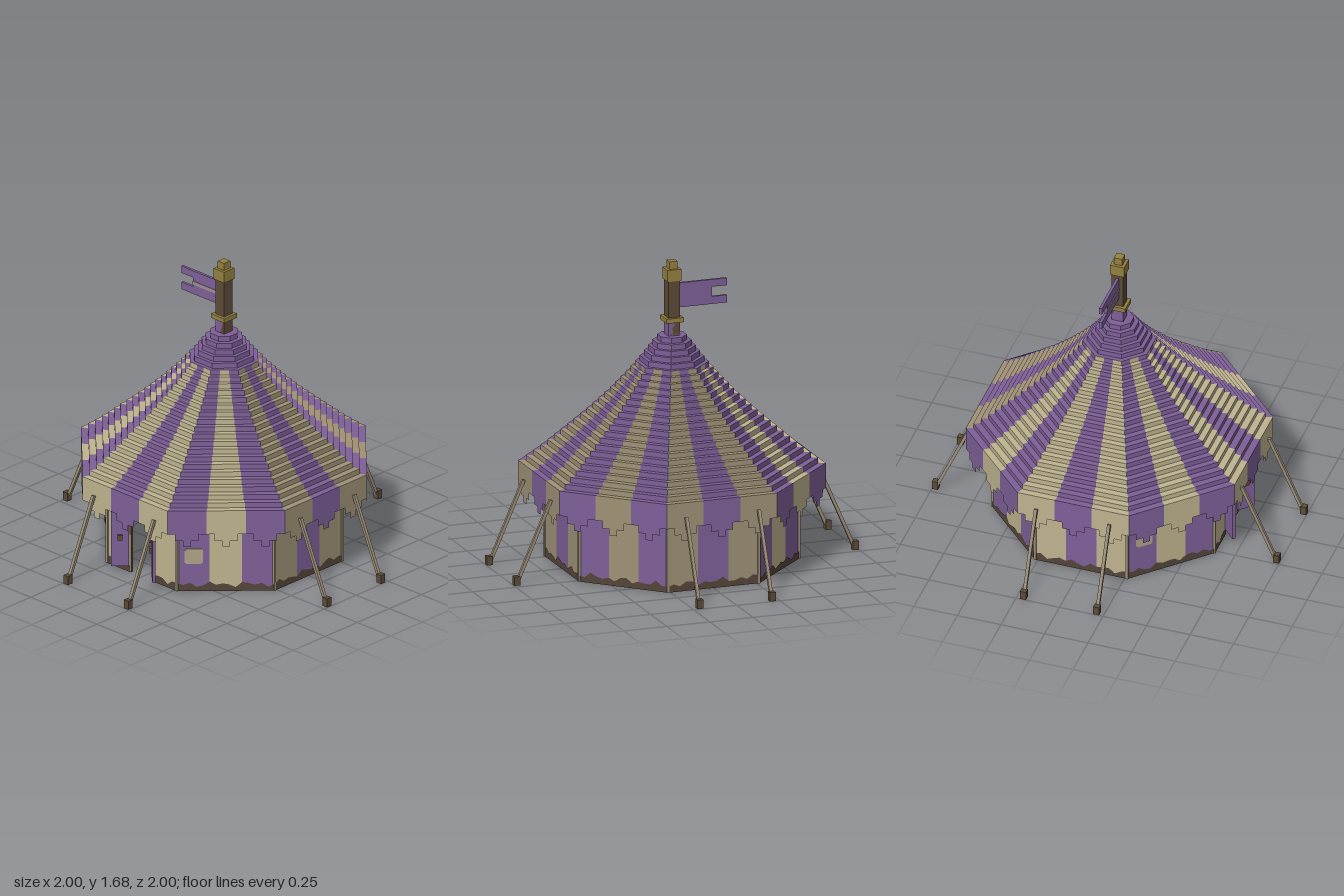
import * as THREE from 'three';

const mat = (name, color) => {
  const m = new THREE.MeshStandardMaterial({ color, side: THREE.DoubleSide });
  m.name = name;
  return m;
};

export function createModel() {
  const M = {
    purple: mat('purple cloth', 0x7e6098),
    tan: mat('light canvas', 0xbfb38f),
    shade: mat('weathered canvas', 0x9f9176),
    mud: mat('mud', 0x54453a),
    wood: mat('dark wood', 0x5c4c38),
    gold: mat('brass', 0x94803f),
    rope: mat('rope', 0x9a8c76),
    ribbon: mat('ribbon grey', 0xa0909c),
    patch: mat('patch canvas', 0xb0a488),
    rug: mat('rug', 0x5c4668),
  };
  const tent = new THREE.Group();
  tent.name = 'tent';

  // --- helpers ---
  const T = Math.tan(Math.PI / 8);
  // point on side k of an octagon with apothem a; u runs -1..1 along the side
  const P = (k, a, u, y) => {
    const s = Math.sin(k * Math.PI / 4), c = Math.cos(k * Math.PI / 4), w = a * T * u;
    return [a * s + w * c, y, a * c - w * s];
  };
  // collects quads by colour and turns them into one mesh per colour
  const sheet = (name) => {
    const buckets = {};
    return {
      quad(col, a, b, c, d) { (buckets[col] ??= []).push(...a, ...b, ...c, ...a, ...c, ...d); },
      done() {
        const g = new THREE.Group();
        g.name = name;
        for (const col in buckets) {
          const geo = new THREE.BufferGeometry();
          geo.setAttribute('position', new THREE.Float32BufferAttribute(buckets[col], 3));
          geo.computeVertexNormals();
          const mesh = new THREE.Mesh(geo, M[col]);
          mesh.name = `${name} ${M[col].name}`;
          g.add(mesh);
        }
        tent.add(g);
      },
    };
  };
  const stripe = (k, j) => ((k % 2 === 1) === (j !== 1) ? 'purple' : k >= 2 && k <= 4 ? 'shade' : 'tan');
  const box = (name, col, w, h, d, x, y, z, ry = 0) => {
    const m = new THREE.Mesh(new THREE.BoxGeometry(w, h, d), M[col]);
    m.name = name;
    m.position.set(x, y, z);
    m.rotation.y = ry;
    tent.add(m);
    return m;
  };
  const bar = (name, col, from, to, t) => {
    const a = new THREE.Vector3(...from), b = new THREE.Vector3(...to);
    const m = box(name, col, t, t, a.distanceTo(b), 0, 0, 0);
    m.position.copy(a).lerp(b, 0.5);
    m.lookAt(b);
    return m;
  };

  // --- stepped striped roof ---
  const profile = [[0.54, 0.735], [0.6, 0.66], [0.7, 0.55], [0.8, 0.44], [0.9, 0.34], [1, 0.25],
    [1.1, 0.17], [1.2, 0.1], [1.26, 0.05], [1.4, 0.034]];
  const radius = (y) => {
    const i = profile.findIndex((p) => p[0] > y);
    const [y0, r0] = profile[i - 1], [y1, r1] = profile[i];
    return r0 + (r1 - r0) * (y - y0) / (y1 - y0);
  };
  const roof = sheet('roof');
  const EAVE = 0.772, STEPS = 24, H = 0.03;
  for (let k = 0; k < 8; k++) for (let j = 0; j < 3; j++) {
    const u0 = -1 + j * 2 / 3, u1 = u0 + 2 / 3;
    let prev = EAVE;
    for (let i = 0; i < STEPS; i++) {
      const y = 0.54 + i * H, a = radius(y + 0.001);
      const col = a < 0.185 ? 'purple' : stripe(k, j);
      roof.quad(col, P(k, prev, u0, y), P(k, prev, u1, y), P(k, a, u1, y), P(k, a, u0, y));
      roof.quad(col, P(k, a, u0, y), P(k, a, u1, y), P(k, a, u1, y + H), P(k, a, u0, y + H));
      prev = a;
    }
    const top = 0.54 + STEPS * H;
    roof.quad('purple', P(k, prev, u0, top), P(k, prev, u1, top), P(k, 0, u1, top), P(k, 0, u0, top));
  }
  roof.done();
  box('roof neck', 'purple', 0.066, 0.1, 0.066, 0, 1.29, 0);

  // --- valance with stepped scallops ---
  const valance = sheet('valance');
  const drops = [0.4, 0.36, 0.325, 0.36, 0.4];
  for (let k = 0; k < 8; k++) for (let j = 0; j < 3; j++) drops.forEach((d, i) => {
    const u0 = -1 + (j + i / 5) * 2 / 3, u1 = u0 + 2 / 15;
    valance.quad(stripe(k, j), P(k, EAVE, u0, d), P(k, EAVE, u1, d), P(k, EAVE, u1, 0.54), P(k, EAVE, u0, 0.54));
  });
  valance.done();

  // --- striped walls, with a doorway in the front one ---
  const walls = sheet('wall');
  const WALL = 0.637;
  for (let k = 0; k < 8; k++) for (let j = 0; j < 3; j++) {
    const u0 = -1 + j * 2 / 3, u1 = u0 + 2 / 3, y = k === 0 && j === 1 ? 0.42 : 0;
    walls.quad(stripe(k, j), P(k, WALL, u0, y), P(k, WALL, u1, y), P(k, WALL, u1, 0.6), P(k, WALL, u0, 0.6));
  }
  walls.done();

  // --- uneven mud along the foot of the walls ---
  const mud = sheet('mud band');
  const N = 15;
  const mudTop = (n) => 0.04 + 0.012 * Math.sin(n * 2.3) + 0.008 * Math.sin(n * 5.1 + 1);
  for (let k = 0; k < 8; k++) for (let i = 0; i < N; i++) {
    if (k === 0 && i >= 5 && i < 10) continue;
    const u0 = -1 + i * 2 / N, u1 = u0 + 2 / N, n = k * N + i, a = WALL + 0.004;
    mud.quad('mud', P(k, a, u0, 0), P(k, a, u1, 0), P(k, a, u1, mudTop(n + 1)), P(k, a, u0, mudTop(n)));
  }
  mud.done();

  // --- corner posts and door posts ---
  for (let k = 0; k < 8; k++) bar('corner post', 'rope', P(k, WALL, 1, 0), P(k, WALL, 1, 0.56), 0.014);
  for (const s of [-1, 1]) bar('door post', 'wood', [s * 0.09, 0, 0.63], [s * 0.09, 0.44, 0.63], 0.014);

  // --- open door flaps with toggles ---
  for (const s of [-1, 1]) {
    box('door flap', 'purple', 0.1, 0.37, 0.018, s * 0.127, 0.225, 0.68, s * -0.75);
    box('flap toggle', 'wood', 0.026, 0.032, 0.03, s * 0.122, 0.215, 0.685, s * -0.75);
  }

  // --- sewn patches on the front diagonal walls ---
  for (const [x, y, z, s] of [[0.327, 0.207, 0.574, 1], [-0.565, 0.237, 0.336, -1]]) {
    box('wall patch', 'patch', 0.1, 0.075, 0.008, x, y, z, s * Math.PI / 4);
    box('wall patch', 'patch', 0.085, 0.09, 0.008, x, y, z, s * Math.PI / 4);
  }

  // --- guy ropes and stakes, two per main side ---
  for (const k of [0, 2, 4, 6]) for (const s of [-1, 1]) {
    const off = s * (k === 0 ? 0.228 : 0.21);
    const at = (a, y) => P(k, a, off / (a * T), y);
    bar('guy rope', 'rope', at(0.782, 0.46), at(0.975, 0.02), 0.018);
    const [x, , z] = at(0.982, 0);
    box('stake', 'wood', 0.034, 0.05, 0.034, x, 0.026, z);
  }

  // --- central pole, collar and finial ---
  box('pole', 'wood', 0.066, 1.58, 0.066, 0, 0.79, 0);
  box('pole collar', 'gold', 0.1, 0.026, 0.1, 0, 1.35, 0);
  box('finial base', 'gold', 0.08, 0.065, 0.08, 0, 1.602, 0);
  box('finial tip', 'gold', 0.048, 0.045, 0.048, 0, 1.655, 0);

  // --- swallowtail flag ---
  const shape = new THREE.Shape([[-0.03, 1.41], [-0.03, 1.548], [-0.315, 1.548], [-0.315, 1.507],
    [-0.228, 1.507], [-0.228, 1.452], [-0.315, 1.452], [-0.315, 1.41]].map((p) => new THREE.Vector2(...p)));
  const flag = new THREE.Mesh(new THREE.ExtrudeGeometry(shape, { depth: 0.016, bevelEnabled: false }), M.purple);
  flag.name = 'flag';
  flag.position.z = -0.008;
  tent.add(flag);
  box('flag stripe', 'ribbon', 0.194, 0.02, 0.004, -0.131, 1.477, 0.009);

  // --- interior: bordered rug and chest ---
  box('rug border', 'wood', 0.6, 0.008, 0.6, 0, 0.007, 0);
  box('rug', 'rug', 0.56, 0.012, 0.56, 0, 0.007, 0);
  box('chest', 'wood', 0.22, 0.08, 0.12, 0.13, 0.04, -0.42);
  box('chest lid', 'wood', 0.235, 0.025, 0.135, 0.13, 0.092, -0.42);

  return tent;
}
